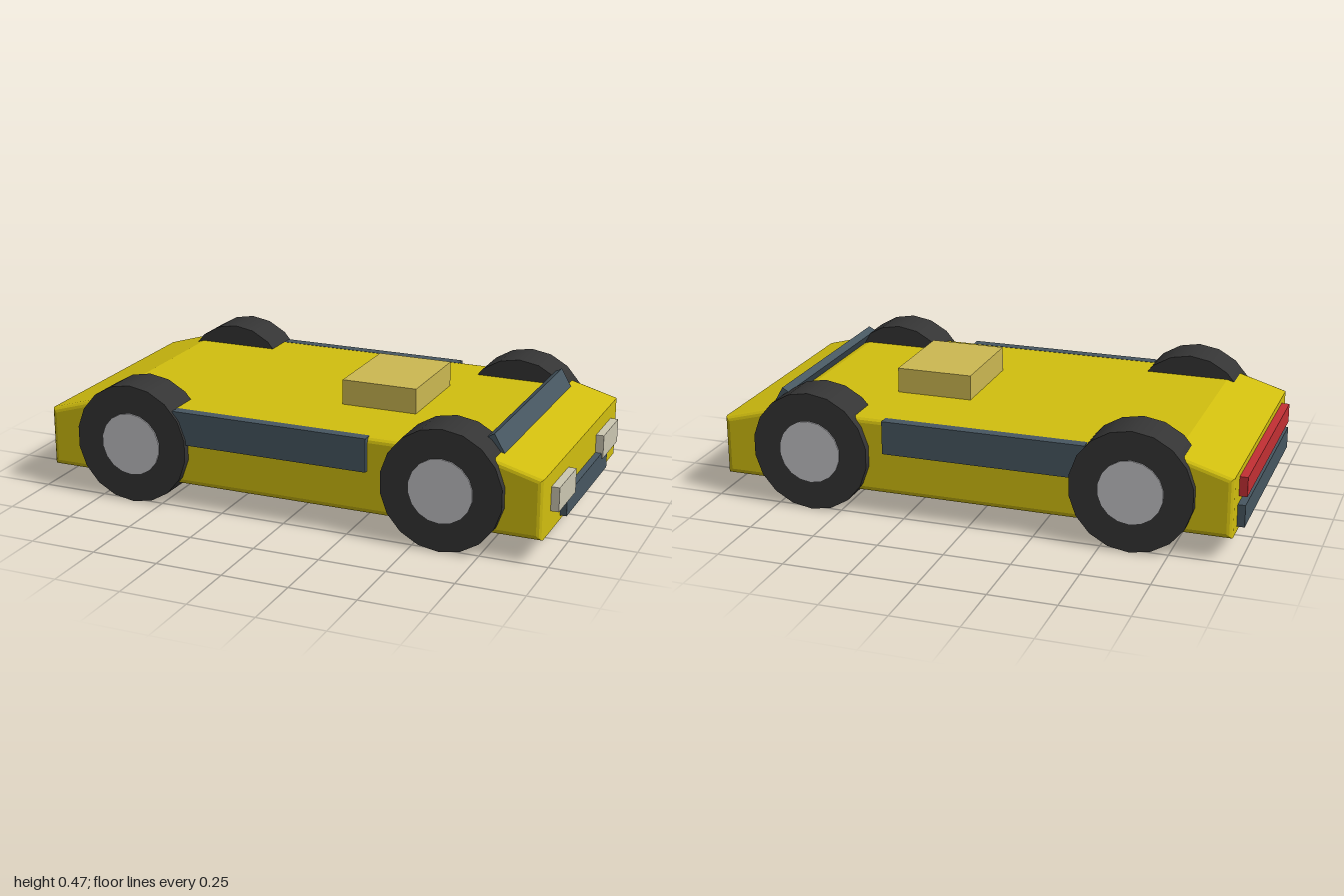
import * as THREE from 'three';

const mat = (name, color) => Object.assign(new THREE.MeshStandardMaterial({ color }), { name });

export function createModel() {
  const car = new THREE.Group();
  car.name = 'car';
  const paint = mat('yellow paint', 0xd2bf0f);
  const glass = mat('dark blue grey', 0x475761);
  const rubber = mat('tyre black', 0x353535);
  const metal = mat('hub grey', 0xc4c4c8);
  const lamp = mat('headlight cream', 0xcdc8b2);
  const red = mat('tail light red', 0xc43034);
  const tan = mat('pale yellow', 0xcdb952);

  const add = (name, geometry, material, x = 0, y = 0, z = 0) => {
    const mesh = new THREE.Mesh(geometry, material);
    mesh.name = name;
    mesh.position.set(x, y, z);
    car.add(mesh);
    return mesh;
  };
  // Box given by its extents on each axis
  const box = (name, material, [x0, x1], [y0, y1], [z0, z1]) =>
    add(name, new THREE.BoxGeometry(x1 - x0, y1 - y0, z1 - z0), material,
      (x0 + x1) / 2, (y0 + y1) / 2, (z0 + z1) / 2);

  // Body: side profile extruded across the width with rounded edges
  const profile = new THREE.Shape([
    [-0.97, 0.086], [0.97, 0.086], [0.97, 0.312], [0.74, 0.375], [-0.76, 0.375], [-0.97, 0.312],
  ].map(([x, y]) => new THREE.Vector2(x, y)));
  const bevel = 0.02;
  const bodyGeometry = new THREE.ExtrudeGeometry(profile, {
    depth: 0.986 - 2 * bevel, bevelEnabled: true, bevelSize: bevel,
    bevelThickness: bevel, bevelOffset: -bevel, bevelSegments: 3,
  });
  bodyGeometry.translate(0, 0, -0.493 + bevel);
  add('body', bodyGeometry, paint);

  // Roof block and tilted windscreen
  box('roofBlock', tan, [0.1, 0.39], [0.365, 0.47], [-0.185, 0.185]);
  add('windscreen', new THREE.BoxGeometry(0.03, 0.1, 0.824), glass, 0.777, 0.374, 0).rotation.z = 0.52;

  // Front and rear fittings
  box('grille', glass, [0.95, 0.994], [0.102, 0.185], [-0.27, 0.27]);
  box('tailLight', red, [-1, -0.95], [0.215, 0.288], [-0.4, 0.4]);
  box('rearBumper', glass, [-0.998, -0.95], [0.105, 0.188], [-0.413, 0.413]);

  for (const side of [-1, 1]) {
    const span = (a, b) => [a * side, b * side].sort((p, q) => p - q);
    box('headlight', lamp, [0.95, 1], [0.165, 0.255], span(0.186, 0.395));
    box('sideWindow', glass, [-0.44, 0.325], [0.25, 0.376], span(0.47, 0.511));

    // Wheels with slightly raised hubs
    for (const x of [-0.612, 0.61]) {
      const tyre = add('tyre', new THREE.CylinderGeometry(0.2275, 0.2275, 0.164, 18), rubber, x, 0.2275, side * 0.44);
      const hub = add('hub', new THREE.CylinderGeometry(0.12, 0.12, 0.16, 18), metal, x, 0.2275, side * 0.447);
      tyre.rotation.x = hub.rotation.x = Math.PI / 2;
    }
  }
  return car;
}
